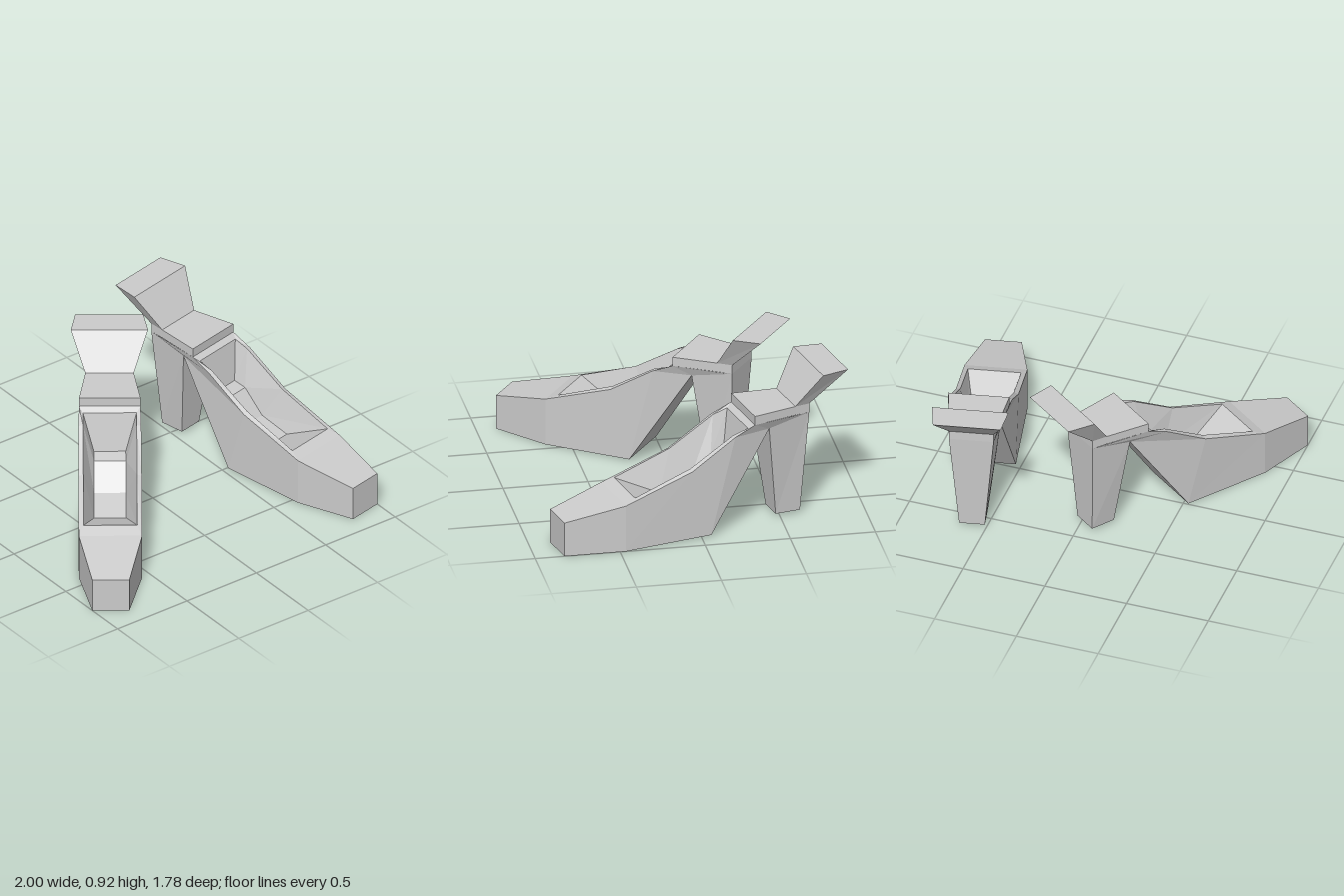
import * as THREE from 'three';

const material = new THREE.MeshStandardMaterial({
  color: 0xcccccc, flatShading: true, side: THREE.DoubleSide,
});

const mirror = (line) => line.map(([x, y, z]) => [-x, y, z]);

// Collects quads between pairs of polylines and turns them into a mesh
function surface(name, crossings, sides) {
  const pos = [];
  const band = (p, q) => {
    for (let i = 0; i < p.length - 1; i++) {
      const [a, b, c, d] = [p[i], p[i + 1], q[i + 1], q[i]];
      pos.push(...a, ...b, ...c, ...a, ...c, ...d);
    }
  };
  // faces spanning from the left side to the right side
  crossings.forEach((line) => band(line, mirror(line)));
  // side faces, built once and mirrored
  sides.forEach(([low, high]) => {
    band(low, high);
    band(mirror(high), mirror(low));
  });
  const geometry = new THREE.BufferGeometry();
  geometry.setAttribute('position', new THREE.Float32BufferAttribute(pos, 3));
  geometry.computeVertexNormals();
  const mesh = new THREE.Mesh(geometry, material);
  mesh.name = name;
  return mesh;
}

// All lines run from toe to heel as [half width, height, z]
const upperEdge = [
  [0.107, 0.21, 0.87], [0.183, 0.287, 0.517], [0.183, 0.43, 0.1],
  [0.181, 0.6, -0.17], [0.178, 0.655, -0.295],
];
const soleEdge = [
  [0.107, 0, 0.87], [0.183, 0, 0.517], [0.182, 0.01, -0.02], [0.14, 0.6, -0.4],
];
const rim = [
  [0.155, 0.315, 0.448], [0.155, 0.44, 0.1], [0.155, 0.605, -0.17], [0.155, 0.632, -0.26],
];
const insole = [
  [0.092, 0.2, 0.19], [0.092, 0.25, 0], [0.092, 0.385, -0.13], [0.092, 0.4, -0.21],
];
const cuffLow = [upperEdge[4], [0.14, 0.655, -0.563], [0.13, 0.655, -0.655]];
const cuffHigh = cuffLow.map(([x, , z]) => [x, 0.71, z]);
const heelTop = [soleEdge[3], cuffLow[2]];
const heelTip = [[0.075, 0.02, -0.468], [0.075, 0.02, -0.62]];
const flareTop = [[0.223, 0.915, -0.704], [0.197, 0.915, -0.87]];

function createShoe(name) {
  const shoe = new THREE.Group();
  shoe.name = name;

  // Shoe body: sole, toe, walls, rim and hollow inside
  shoe.add(surface('shoeBody',
    [[...[...soleEdge].reverse(), upperEdge[0], upperEdge[1], rim[0], ...insole, rim[3], upperEdge[4]]],
    [
      [soleEdge, upperEdge.slice(0, 4)],
      [heelTop, upperEdge.slice(3)],
      [upperEdge.slice(1), rim],
      [rim, insole],
    ]));

  // Flat block above the heel
  shoe.add(surface('heelCuff',
    [[cuffLow[0], ...cuffHigh, cuffLow[2]]],
    [[cuffLow, cuffHigh]]));

  // Tapered heel
  shoe.add(surface('heel',
    [[heelTop[1], heelTip[1], heelTip[0], heelTop[0]]],
    [[heelTip, heelTop]]));

  // Flared piece leaning backwards from the cuff
  shoe.add(surface('backFlare',
    [[cuffHigh[1], ...flareTop, cuffHigh[2]]],
    [[cuffHigh.slice(1), flareTop]]));

  return shoe;
}

export function createModel() {
  const model = new THREE.Group();
  model.name = 'pairOfShoes';

  const left = createShoe('leftShoe');
  left.position.set(0.712, 0, 0);
  left.rotation.y = 0.212;

  const right = createShoe('rightShoe');
  right.position.set(-0.398, 0, 0.12);
  right.rotation.y = -0.636;

  model.add(left, right);
  return model;
}
